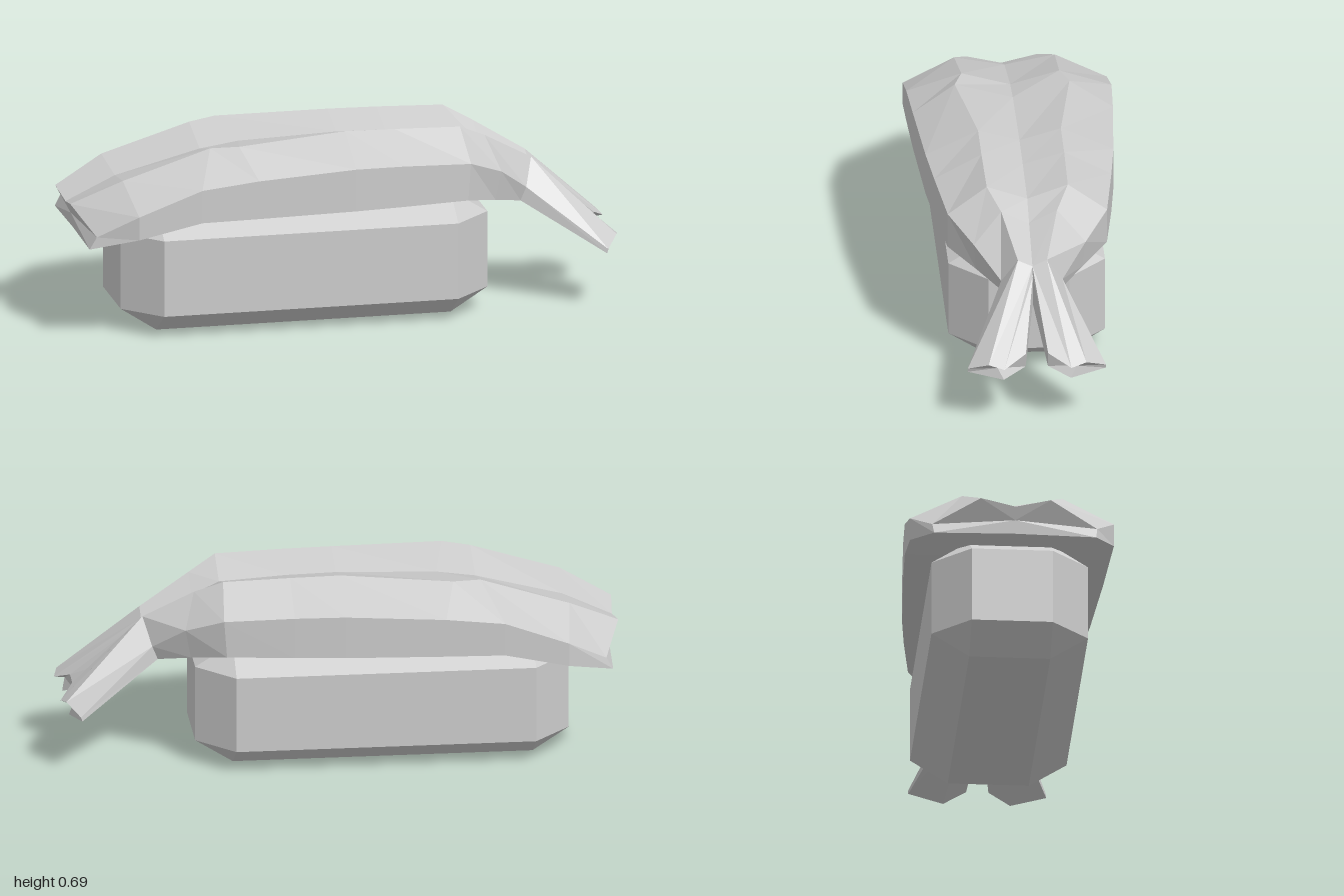
import * as THREE from 'three';
import { ConvexGeometry } from 'three/addons/geometries/ConvexGeometry.js';

const material = new THREE.MeshStandardMaterial({ color: 0xcccccc, flatShading: true });

// Skin closed rings (counterclockwise seen from +x, listed towards +x) and cap both ends
function loft(rings) {
  const pos = [];
  const tri = (a, b, c) => pos.push(...a, ...b, ...c);
  const n = rings[0].length;
  for (let i = 0; i < rings.length - 1; i++) {
    for (let j = 0; j < n; j++) {
      const k = (j + 1) % n;
      tri(rings[i][j], rings[i][k], rings[i + 1][k]);
      tri(rings[i][j], rings[i + 1][k], rings[i + 1][j]);
    }
  }
  const cap = (ring, flip) => {
    const c = [0, 1, 2].map((d) => ring.reduce((s, p) => s + p[d], 0) / n);
    for (let j = 0; j < n; j++) {
      const a = ring[j], b = ring[(j + 1) % n];
      flip ? tri(c, b, a) : tri(c, a, b);
    }
  };
  cap(rings[0], true);
  cap(rings[rings.length - 1], false);
  const g = new THREE.BufferGeometry();
  g.setAttribute('position', new THREE.Float32BufferAttribute(pos, 3));
  g.computeVertexNormals();
  return g;
}

const mirror = ([x, y, z]) => [x, y, -z];

function add(group, name, geometry) {
  const mesh = new THREE.Mesh(geometry, material);
  mesh.name = name;
  group.add(mesh);
}

export function createModel() {
  const group = new THREE.Group();
  group.name = 'prawnOnRice';

  // Rice block: octagonal walls, bevelled to a smaller rectangle above and below
  const rice = [];
  for (const s of [-1, 1]) {
    for (const [inner, outer] of [[-0.69, -0.82], [0.385, 0.52]]) {
      for (const y of [0, 0.45]) rice.push(new THREE.Vector3(inner, y, s * 0.145));
      for (const y of [0.085, 0.365]) {
        rice.push(new THREE.Vector3(inner, y, s * 0.28), new THREE.Vector3(outer, y, s * 0.145));
      }
    }
  }
  add(group, 'riceBlock', new ConvexGeometry(rice));

  // Prawn half sections: centre valley, ridge, outer top edge, outer bottom edge, centre underside
  const halves = [
    [[-0.99, 0.455, 0], [-1, 0.48, 0.125], [-0.94, 0.4, 0.295], [-0.965, 0.355, 0.29], [-0.965, 0.36, 0]],
    [[-0.81, 0.54, 0], [-0.82, 0.57, 0.18], [-0.8, 0.485, 0.365], [-0.8, 0.4, 0.365], [-0.8, 0.4, 0]],
    [[-0.5, 0.62, 0], [-0.5, 0.67, 0.175], [-0.57, 0.57, 0.367], [-0.57, 0.45, 0.367], [-0.57, 0.45, 0]],
    [[-0.36, 0.64, 0], [-0.4, 0.678, 0.205], [-0.36, 0.59, 0.358], [-0.36, 0.45, 0.358], [-0.36, 0.45, 0]],
    [[0, 0.652, 0], [0, 0.695, 0.148], [0, 0.605, 0.336], [0, 0.45, 0.336], [0, 0.45, 0]],
    [[0.18, 0.648, 0], [0.18, 0.692, 0.148], [0.18, 0.6, 0.317], [0.18, 0.45, 0.317], [0.18, 0.45, 0]],
    [[0.42, 0.633, 0], [0.42, 0.685, 0.145], [0.43, 0.585, 0.285], [0.42, 0.45, 0.285], [0.42, 0.45, 0]],
    [[0.52, 0.585, 0], [0.52, 0.635, 0.1], [0.56, 0.525, 0.2], [0.54, 0.418, 0.19], [0.54, 0.41, 0]],
    [[0.7, 0.505, 0], [0.7, 0.53, 0.052], [0.67, 0.435, 0.11], [0.65, 0.385, 0.105], [0.68, 0.365, 0]],
  ];
  add(group, 'prawnBody', loft(halves.map((h) => [...h, ...h.slice(1, 4).reverse().map(mirror)])));

  // Tail fins: root ring and splayed tip ring, from the inner top edge outwards and under
  const fin = [
    [[0.72, 0.475, 0], [0.7, 0.505, 0], [0.7, 0.53, 0.052], [0.67, 0.435, 0.11],
      [0.65, 0.385, 0.105], [0.67, 0.37, 0.05], [0.72, 0.365, 0]],
    [[0.95, 0.283, 0.04], [1, 0.247, 0.12], [0.985, 0.26, 0.175], [0.94, 0.226, 0.247],
      [0.935, 0.211, 0.247], [0.97, 0.192, 0.12], [0.935, 0.225, 0.04]],
  ];
  add(group, 'leftTailFin', loft(fin));
  add(group, 'rightTailFin', loft(fin.map((ring) => ring.map(mirror).reverse())));

  return group;
}
